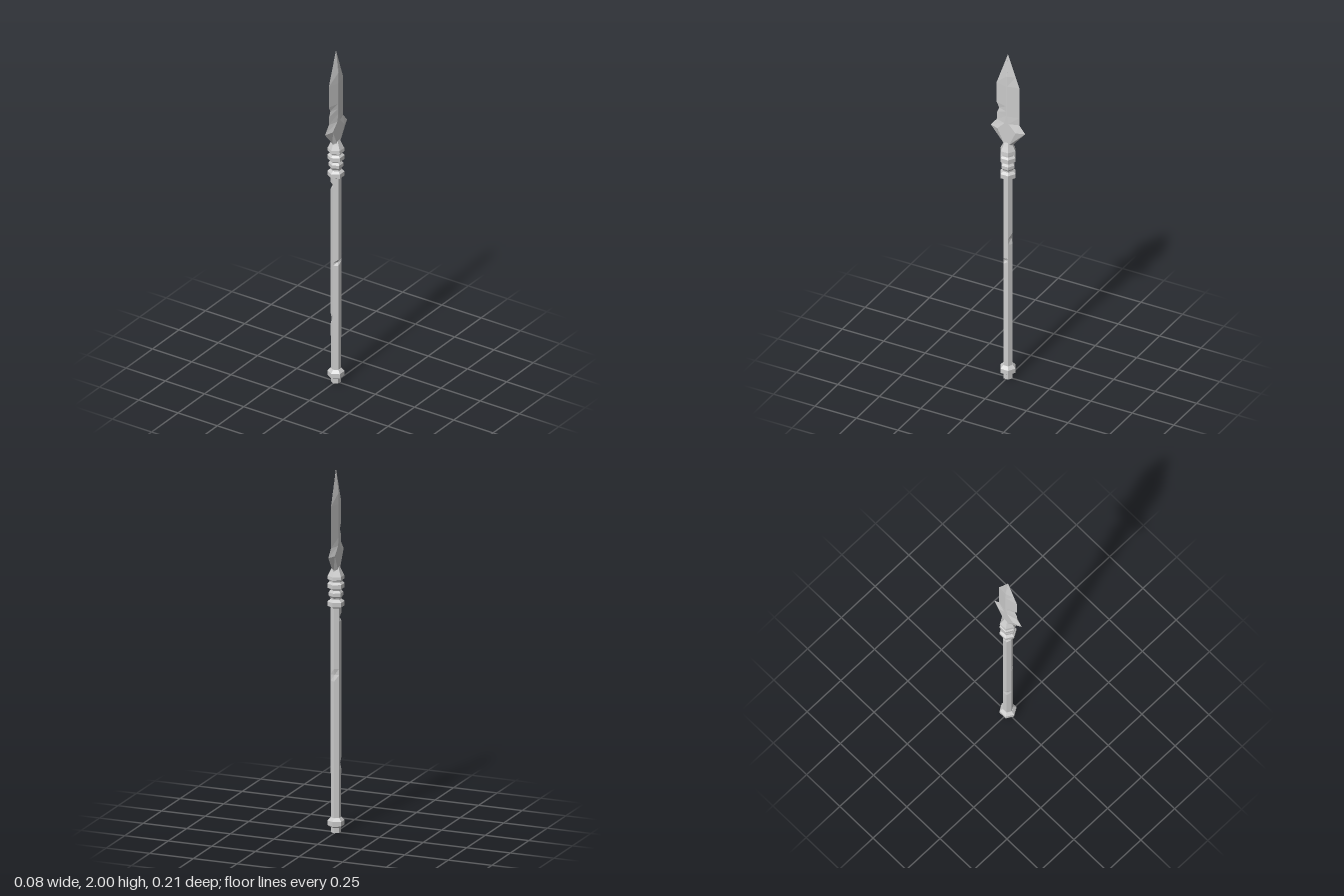
import * as THREE from 'three';

const material = new THREE.MeshStandardMaterial({ color: 0xcccccc, flatShading: true });

// Skins a stack of closed rings (listed bottom to top) and caps both ends
function loft(name, rings) {
  const n = rings[0].length;
  const positions = rings.flat(2);
  const index = [];
  for (let r = 0; r < rings.length - 1; r++) {
    for (let i = 0; i < n; i++) {
      const a = r * n + i, b = r * n + (i + 1) % n;
      index.push(a, b, b + n, a, b + n, a + n);
    }
  }
  const top = (rings.length - 1) * n;
  for (let i = 1; i < n - 1; i++) {
    index.push(0, i + 1, i, top, top + i, top + i + 1);
  }
  const geometry = new THREE.BufferGeometry();
  geometry.setAttribute('position', new THREE.Float32BufferAttribute(positions, 3));
  geometry.setIndex(index);
  const flat = geometry.toNonIndexed();
  flat.computeVertexNormals();
  const mesh = new THREE.Mesh(flat, material);
  mesh.name = name;
  return mesh;
}

// Six-sided ring with corners on the z axis
function hexRing(y, radius) {
  return Array.from({ length: 6 }, (_, k) => {
    const a = k * Math.PI / 3;
    return [radius * Math.sin(a), y, radius * Math.cos(a)];
  });
}

const turned = (name, profile) => loft(name, profile.map(([y, r]) => hexRing(y, r)));

// Shaft with one corner nicked inward at each dent: height, corner, half length, depth
function makeShaft() {
  const dents = [[0.38, 5, 0.03, 0.8], [0.73, 1, 0.018, 0.65], [0.87, 3, 0.035, 0.75], [1.185, 5, 0.02, 0.65]];
  const rings = [hexRing(0, 0.027)];
  for (const [y, corner, half, scale] of dents) {
    const nick = hexRing(y, 0.028);
    nick[corner][0] *= scale;
    nick[corner][2] *= scale;
    rings.push(hexRing(y - half, 0.028), nick, hexRing(y + half, 0.028));
  }
  rings.push(hexRing(1.27, 0.028));
  return loft('shaft', rings);
}

// Blade section: edges at front and back, flats of half length f at thickness t
function bladeRing([y, front, back, f, t]) {
  return [[0, y, front], [t, y, f], [t, y, -f], [0, y, -back], [-t, y, -f], [-t, y, f]];
}

export function createModel() {
  const group = new THREE.Group();
  group.name = 'spear';

  group.add(makeShaft());

  // Chamfered ring near the butt
  group.add(turned('buttCollar', [
    [0.028, 0.027], [0.04, 0.046], [0.066, 0.046], [0.083, 0.029],
  ]));

  // Rings and bead below the head
  group.add(turned('lowerRing', [
    [1.238, 0.028], [1.247, 0.046], [1.272, 0.046], [1.284, 0.03],
  ]));
  group.add(turned('bead', [
    [1.28, 0.03], [1.292, 0.03], [1.304, 0.039], [1.322, 0.039], [1.334, 0.03], [1.342, 0.03],
  ]));
  group.add(turned('upperRing', [
    [1.338, 0.03], [1.347, 0.046], [1.37, 0.046], [1.38, 0.035],
  ]));

  // Flared socket holding the blade
  group.add(turned('socket', [
    [1.378, 0.034], [1.388, 0.034], [1.395, 0.046], [1.413, 0.044], [1.44, 0.031], [1.462, 0.021],
  ]));

  // Blade with barbs and a chipped front edge
  group.add(loft('blade', [
    [1.42, 0.026, 0.026, 0.015, 0.017],
    [1.45, 0.032, 0.032, 0.015, 0.017],
    [1.535, 0.104, 0.104, 0.055, 0.017],
    [1.58, 0.068, 0.068, 0.012, 0.017],
    [1.625, 0.066, 0.068, 0.004, 0.017],
    [1.655, 0.053, 0.068, 0.004, 0.017],
    [1.685, 0.068, 0.068, 0.004, 0.017],
    [1.81, 0.068, 0.068, 0.004, 0.017],
    [1.87, 0.0465, 0.0465, 0.003, 0.016],
    [2, 0.0006, 0.0006, 0.0003, 0.0006],
  ].map(bladeRing)));

  return group;
}
